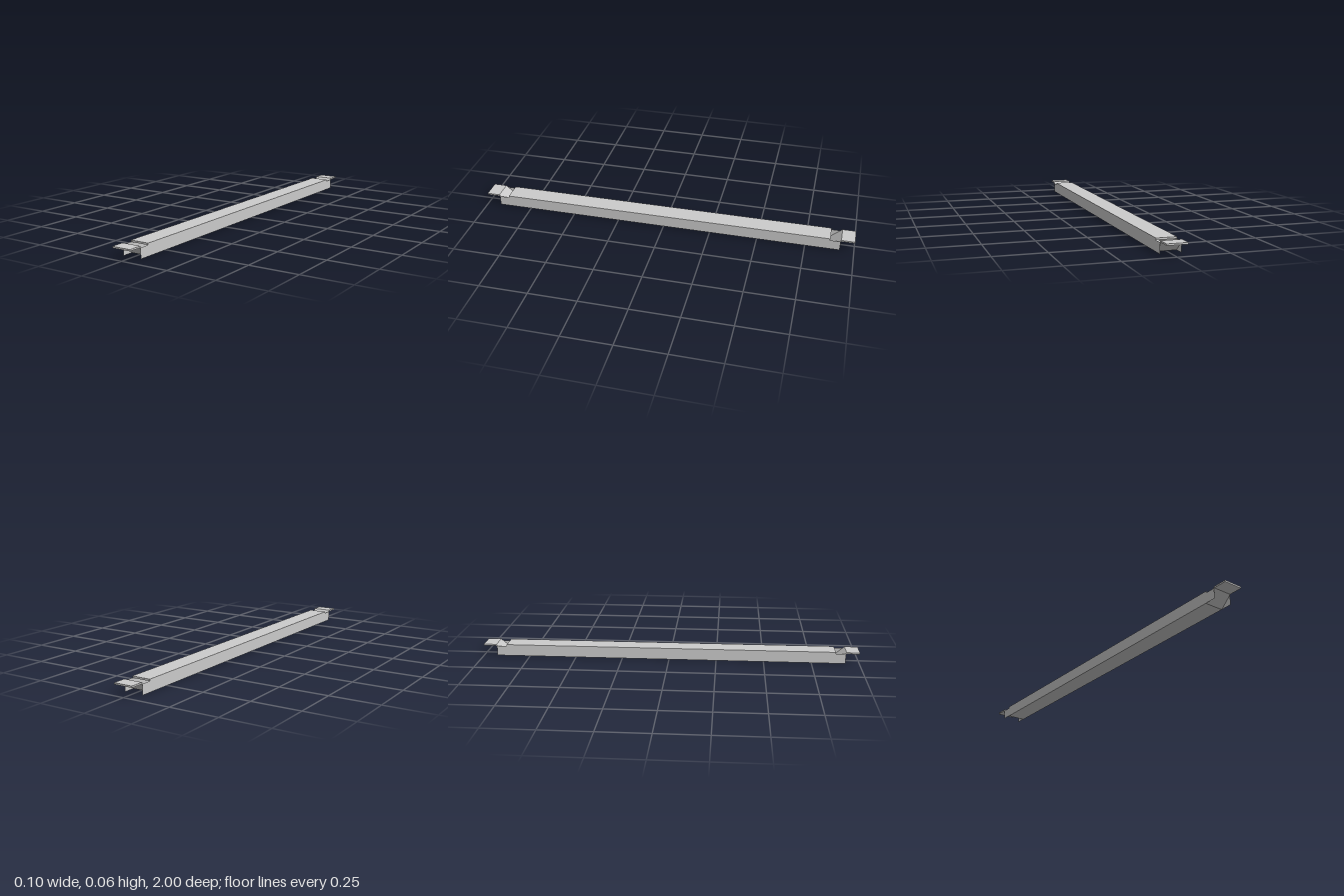
import * as THREE from 'three';

const W = 0.1;          // overall width
const WALL_H = 0.052;   // side wall height
const TOP = 0.061;      // overall height

export function createModel() {
  const group = new THREE.Group();
  const solid = new THREE.MeshStandardMaterial({ color: 0xcccccc, flatShading: true });
  const sheet = new THREE.MeshStandardMaterial({ color: 0xcccccc, flatShading: true, side: THREE.DoubleSide });

  const add = (name, geometry, material) => {
    const mesh = new THREE.Mesh(geometry, material);
    mesh.name = name;
    group.add(mesh);
    return mesh;
  };

  // Top plate, shorter than the walls so that each end is notched
  add('topPlate', new THREE.BoxGeometry(W, TOP - WALL_H, 1.75), solid)
    .position.y = (TOP + WALL_H) / 2;

  // Thin floor of the hollow channel
  add('floor', new THREE.PlaneGeometry(W, 1.74).rotateX(-Math.PI / 2), sheet);

  // Thin side walls
  for (const side of [1, -1]) {
    const wall = add(side > 0 ? 'leftWall' : 'rightWall',
      new THREE.PlaneGeometry(1.856, WALL_H).rotateY(side * Math.PI / 2), sheet);
    wall.position.set(side * W / 2, WALL_H / 2, 0);
  }

  // Hooks: a ramp rising from the floor into a flat tab, profile in (z, y)
  const profile = new THREE.Shape([
    [0.862, 0], [0.87, 0], [0.93, 0.053], [1, 0.053], [1, TOP], [0.931, TOP],
  ].map(([z, y]) => new THREE.Vector2(z, y)));
  const hook = new THREE.ExtrudeGeometry(profile, { depth: W, bevelEnabled: false });
  hook.translate(0, 0, -W / 2).rotateY(-Math.PI / 2);
  add('frontHook', hook, solid);
  add('backHook', hook, solid).rotation.y = Math.PI;

  return group;
}
